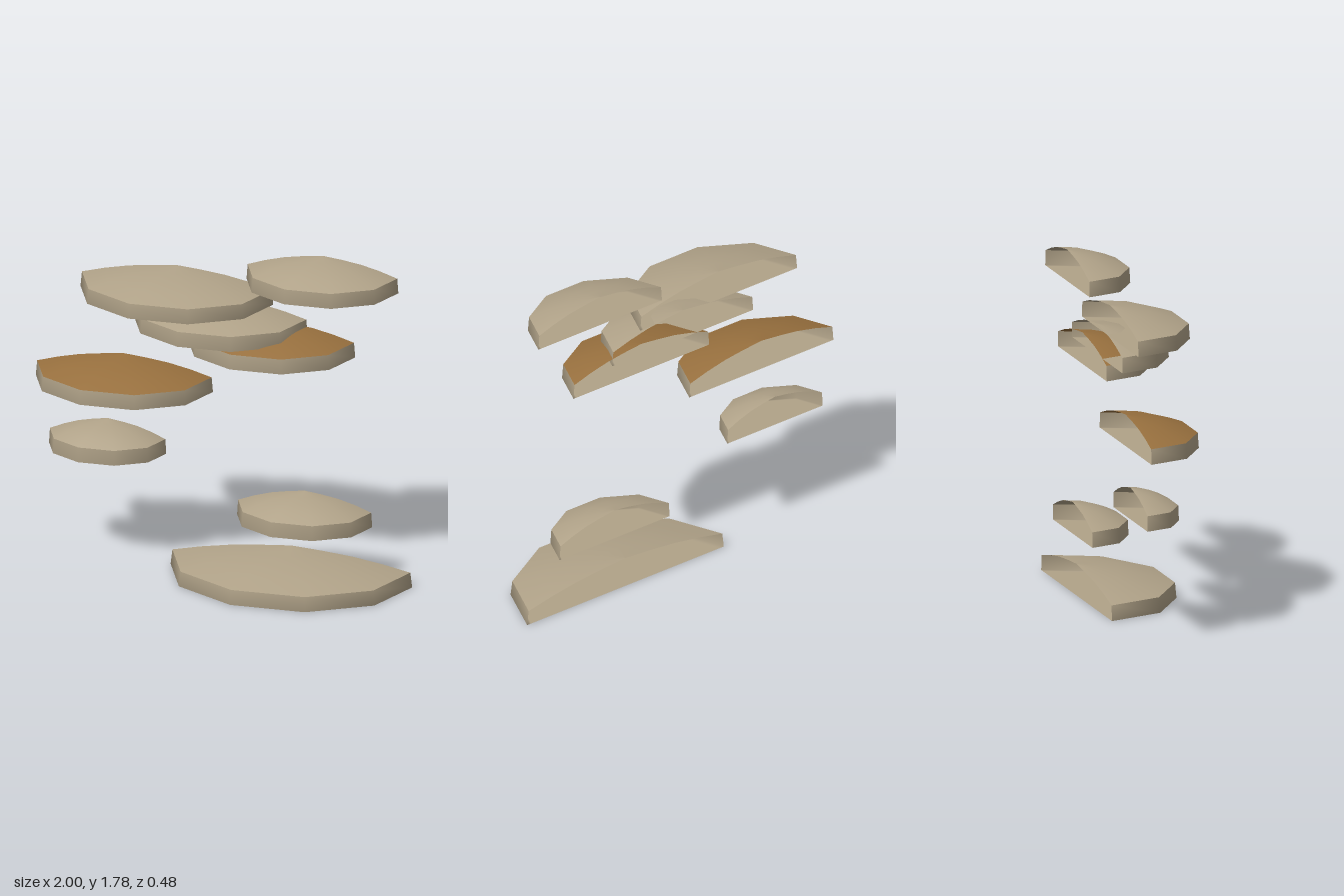
import * as THREE from 'three';

const pale = new THREE.MeshStandardMaterial({ color: 0xb0a288, side: THREE.DoubleSide });
pale.name = 'pale fungus';
const brown = new THREE.MeshStandardMaterial({ color: 0x98703e, side: THREE.DoubleSide });
brown.name = 'brown fungus';

const BACK = -0.238; // plane where the open backs sit
const DEPTH = 0.78;  // depth of a bracket relative to its half width

// Profiles as [radius fraction, height]
const baseProfile = [[0, 0], [0.96, 0], [1, 0], [0.985, 0.08]];
const domeProfile = [[0.985, 0.08], [0.75, 0.112], [0.5, 0.138], [0.25, 0.154], [0, 0.166]];

// Half lathe of five sides, open at the back
function halfShell(profile, halfWidth) {
  const points = profile.map(([r, y]) => new THREE.Vector2(r, y));
  const geometry = new THREE.LatheGeometry(points, 5, -Math.PI / 2, Math.PI);
  return geometry.scale(halfWidth, 1, halfWidth * DEPTH);
}

function part(name, geometry, material) {
  const mesh = new THREE.Mesh(geometry, material);
  mesh.name = name;
  return mesh;
}

// One shelf bracket: flat underside with rim, and a low dome
function bracket(left, right, y, capMaterial) {
  const group = new THREE.Group();
  const halfWidth = (right - left) / 2;
  group.add(part('undersideAndRim', halfShell(baseProfile, halfWidth), pale));
  group.add(part('cap', halfShell(domeProfile, halfWidth), capMaterial));
  group.position.set((left + right) / 2, y, BACK);
  return group;
}

export function createModel() {
  const model = new THREE.Group();
  model.name = 'shelfFungus';
  // [min x, max x, base height, cap colour]
  const brackets = [
    [-0.285, 0.997, 0, pale],
    [0.068, 0.785, 0.31, pale],
    [-0.93, -0.308, 0.604, pale],
    [-1.0, -0.06, 0.97, brown],
    [-0.19, 0.695, 1.238, brown],
    [-0.477, 0.442, 1.34, pale],
    [-0.763, 0.26, 1.485, pale],
    [0.118, 0.924, 1.615, pale],
  ];
  brackets.forEach(([left, right, y, material], i) => {
    const b = bracket(left, right, y, material);
    b.name = `bracket${i + 1}`;
    model.add(b);
  });
  return model;
}
